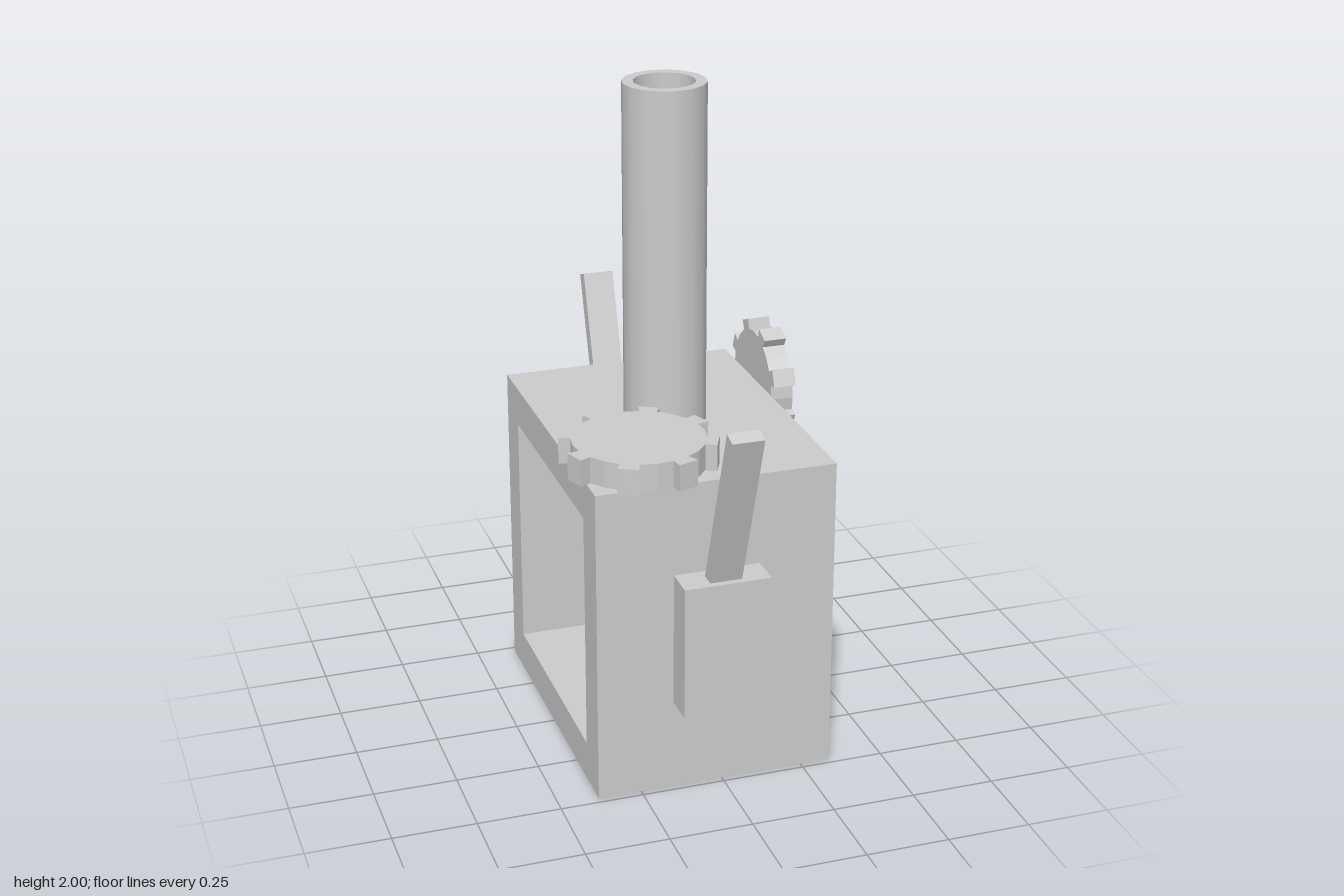
import * as THREE from 'three';

const grey = new THREE.MeshStandardMaterial({ color: 0xcccccc });

export function createModel() {
  const model = new THREE.Group();

  const add = (name, geometry, x = 0, y = 0, z = 0) => {
    const mesh = new THREE.Mesh(geometry, grey);
    mesh.name = name;
    mesh.position.set(x, y, z);
    model.add(mesh);
    return mesh;
  };
  const extrude = (shape, depth) =>
    new THREE.ExtrudeGeometry(shape, { depth, bevelEnabled: false, curveSegments: 12 });
  const rectPoints = (x0, y0, x1, y1) => [
    new THREE.Vector2(x0, y0), new THREE.Vector2(x1, y0),
    new THREE.Vector2(x1, y1), new THREE.Vector2(x0, y1),
  ];

  // Head: a block with a square window running through from side to side
  const frame = new THREE.Shape(rectPoints(-0.48, 0, 0.48, 0.97));
  frame.holes.push(new THREE.Path(rectPoints(-0.36, 0.12, 0.36, 0.85)));
  add('head', extrude(frame, 0.72), -0.38).rotation.y = Math.PI / 2;

  // Face inside the window
  for (const side of [-1, 1]) {
    add('eye', new THREE.BoxGeometry(0.15, 0.16, 0.16), 0.215, 0.652, side * 0.21);
  }
  const smile = new THREE.Shape();
  smile.moveTo(-0.3, 0.4);
  smile.quadraticCurveTo(0, 0.285, 0.3, 0.4);
  smile.lineTo(0.3, 0.278);
  smile.quadraticCurveTo(0, 0.157, -0.3, 0.278);
  add('mouth', extrude(smile, 0.15), 0.145).rotation.y = Math.PI / 2;

  // Hollow chimney
  const pipe = [[0.09, 0.97], [0.123, 0.97], [0.123, 2], [0.09, 2], [0.09, 0.97]];
  const chimney = new THREE.Group();
  chimney.name = 'chimney';
  chimney.position.x = -0.02;
  for (let i = 0; i < pipe.length - 1; i++) {
    // each wall is its own lathe, so the rims stay sharp
    const points = [pipe[i], pipe[i + 1]].map(([r, y]) => new THREE.Vector2(r, y));
    const wall = new THREE.Mesh(new THREE.LatheGeometry(points, 16), grey);
    wall.name = 'chimneyWall';
    chimney.add(wall);
  }
  model.add(chimney);

  // Ears with tilted antennas, front and back
  for (const side of [-1, 1]) {
    add('ear', new THREE.BoxGeometry(0.26, 0.41, 0.1), -0.02, 0.485, side * 0.53);
    const antenna = add('antenna', new THREE.BoxGeometry(0.095, 0.56, 0.045),
      -0.02, 0.927, side * 0.617);
    antenna.rotation.x = side * 0.328;
  }

  // Eight-toothed gears
  const gear = (root, tip, turn, depth) => {
    const points = [];
    const at = (r, degrees) => {
      const a = THREE.MathUtils.degToRad(degrees);
      points.push(new THREE.Vector2(r * Math.cos(a), r * Math.sin(a)));
    };
    for (let i = 0; i < 8; i++) {
      const a = turn + i * 45;
      at(root, a - 8);
      at(tip, a - 8);
      at(tip, a + 8);
      at(root, a + 8);
      at(root, a + 22.5);
    }
    return extrude(new THREE.Shape(points), depth);
  };
  add('topGear', gear(0.195, 0.23, 20, 0.08), -0.195, 0.97, 0.3).rotation.x = -Math.PI / 2;
  add('largeSideGear', gear(0.165, 0.195, 22.5, 0.07), 0.345, 0.953, -0.233).rotation.y = Math.PI / 2;
  add('smallSideGear', gear(0.135, 0.16, 10, 0.07), 0.345, 0.732, -0.478).rotation.y = Math.PI / 2;

  return model;
}
